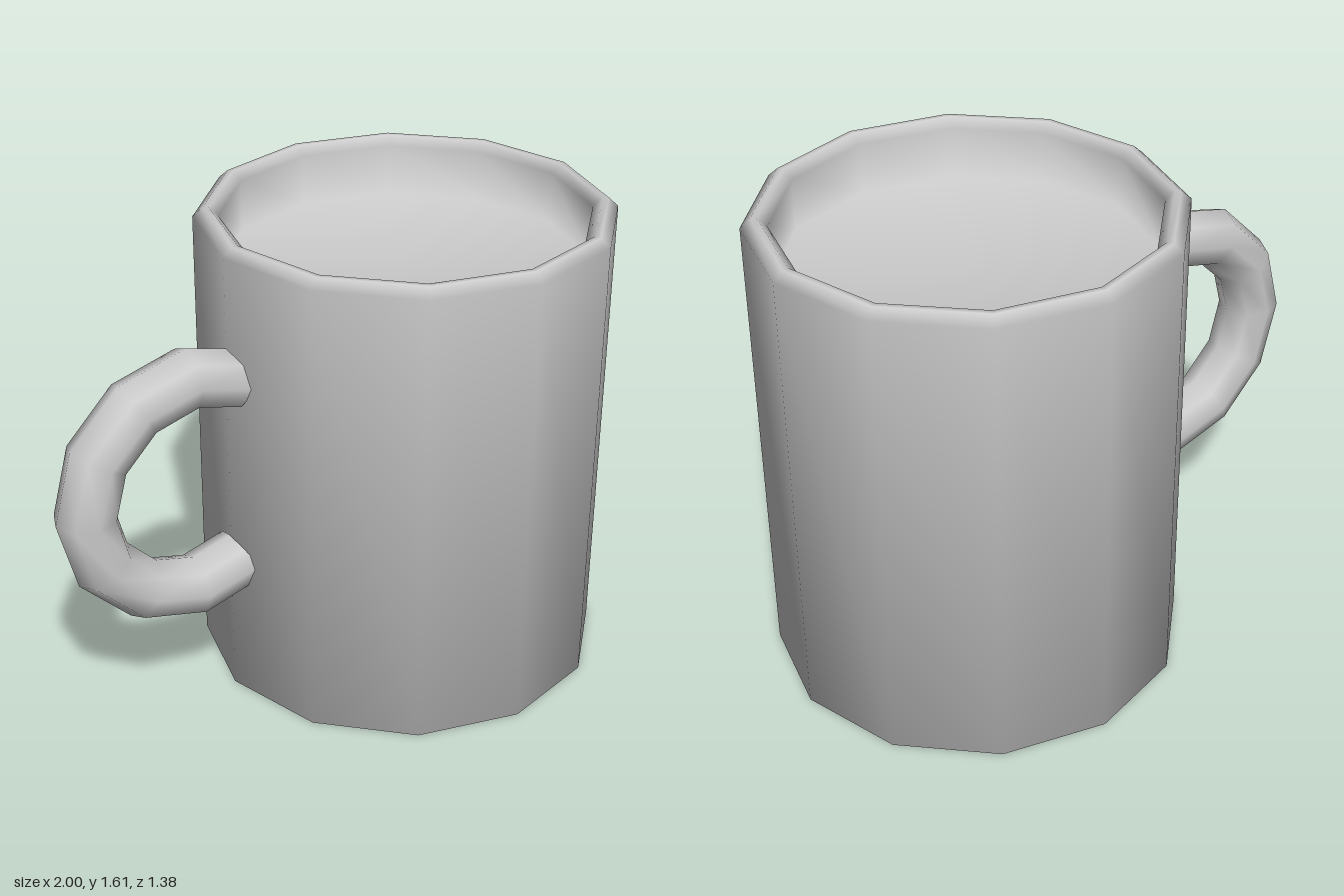
import * as THREE from 'three';

const SIDES = 12;
const BODY_X = 0.311;

export function createModel() {
  const group = new THREE.Group();
  const material = new THREE.MeshStandardMaterial({ color: 0xcccccc });

  const addPart = (name, geometry, x, y) => {
    const mesh = new THREE.Mesh(geometry, material);
    mesh.name = name;
    mesh.position.set(x, y, 0);
    group.add(mesh);
  };

  // Filled cup: base, outer wall, bevelled rim, short inner wall and inner surface
  const profile = [
    [0, 0], [0.688, 0],
    [0.688, 1.575], [0.655, 1.605],
    [0.635, 1.605], [0.605, 1.575],
    [0.605, 1.4], [0, 1.4],
  ].map(([r, y]) => new THREE.Vector2(r, y));
  addPart('cup', new THREE.LatheGeometry(profile, SIDES), BODY_X, 0);

  // Handle: two thirds of a ring, its ends sunk into the wall
  const ring = new THREE.TorusGeometry(0.378, 0.102, 8, 8, Math.PI * 4 / 3);
  ring.rotateZ(Math.PI / 3);
  addPart('handle', ring, -0.52, 0.83);

  return group;
}
